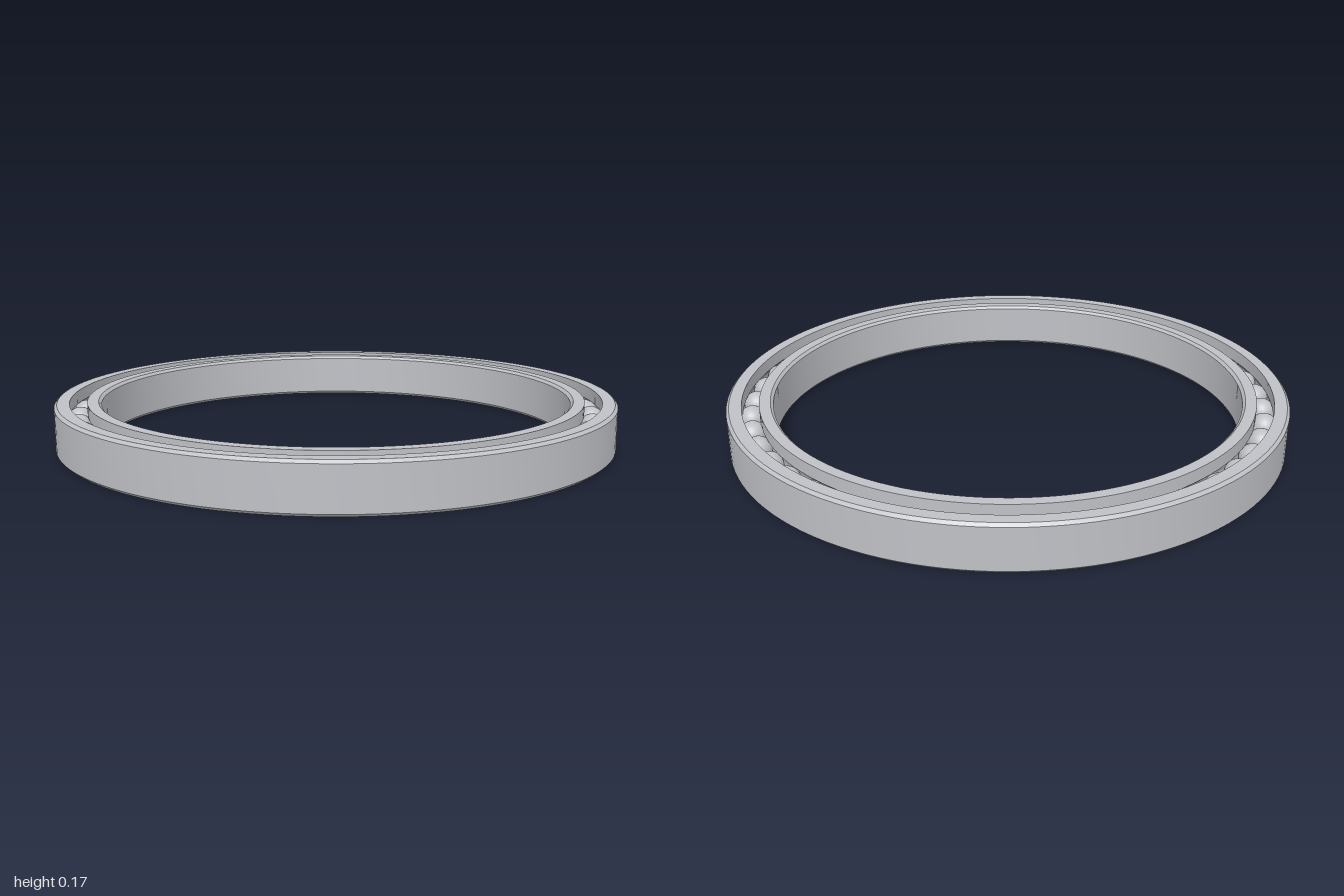
import * as THREE from 'three';
import { toCreasedNormals } from 'three/addons/utils/BufferGeometryUtils.js';

const HEIGHT = 0.166, MID = HEIGHT / 2, CHAMFER = 0.01;
const PITCH = 0.917;          // radius of the circle of balls
const BALL = 0.048, BALLS = 45;
const GAP = 0.03;             // half the open gap between the two rings

// Raceway arc, swept from angle +a to -a around a centre direction
function groove(centre) {
  const a = Math.acos(GAP / BALL), points = [];
  for (let i = 0; i <= 10; i++) {
    const t = centre + a - (2 * a * i) / 10;
    points.push(new THREE.Vector2(PITCH + BALL * Math.cos(t), MID + BALL * Math.sin(t)));
  }
  return points;
}

function ring(name, profile, material) {
  const closed = [...profile, profile[0].clone()];
  const mesh = new THREE.Mesh(toCreasedNormals(new THREE.LatheGeometry(closed, 128), 0.5), material);
  mesh.name = name;
  return mesh;
}

export function createModel() {
  const group = new THREE.Group();
  group.name = 'ballBearing';
  const steel = new THREE.MeshStandardMaterial({ color: 0xbfc1c6 });
  steel.name = 'steel';
  const v = (x, y) => new THREE.Vector2(x, y);

  // Outer ring: chamfered outside, raceway inside
  const outerLip = PITCH + GAP;
  group.add(ring('outerRing', [
    v(outerLip, 0), v(1 - CHAMFER, 0), v(1, CHAMFER),
    v(1, HEIGHT - CHAMFER), v(1 - CHAMFER, HEIGHT), v(outerLip, HEIGHT),
    ...groove(0),
  ], steel));

  // Inner ring: raceway outside, chamfered bore
  const innerLip = PITCH - GAP, bore = 0.838;
  group.add(ring('innerRing', [
    v(bore + CHAMFER, 0), v(innerLip, 0),
    ...groove(Math.PI),
    v(innerLip, HEIGHT), v(bore + CHAMFER, HEIGHT),
    v(bore, HEIGHT - CHAMFER), v(bore, CHAMFER),
  ], steel));

  // Balls, evenly spaced from the +x side
  const balls = new THREE.Group();
  balls.name = 'balls';
  const sphere = new THREE.SphereGeometry(BALL, 24, 16);
  for (let i = 0; i < BALLS; i++) {
    const a = (i / BALLS) * Math.PI * 2;
    const ball = new THREE.Mesh(sphere, steel);
    ball.name = 'ball';
    ball.position.set(PITCH * Math.cos(a), MID, PITCH * Math.sin(a));
    balls.add(ball);
  }
  group.add(balls);
  return group;
}
